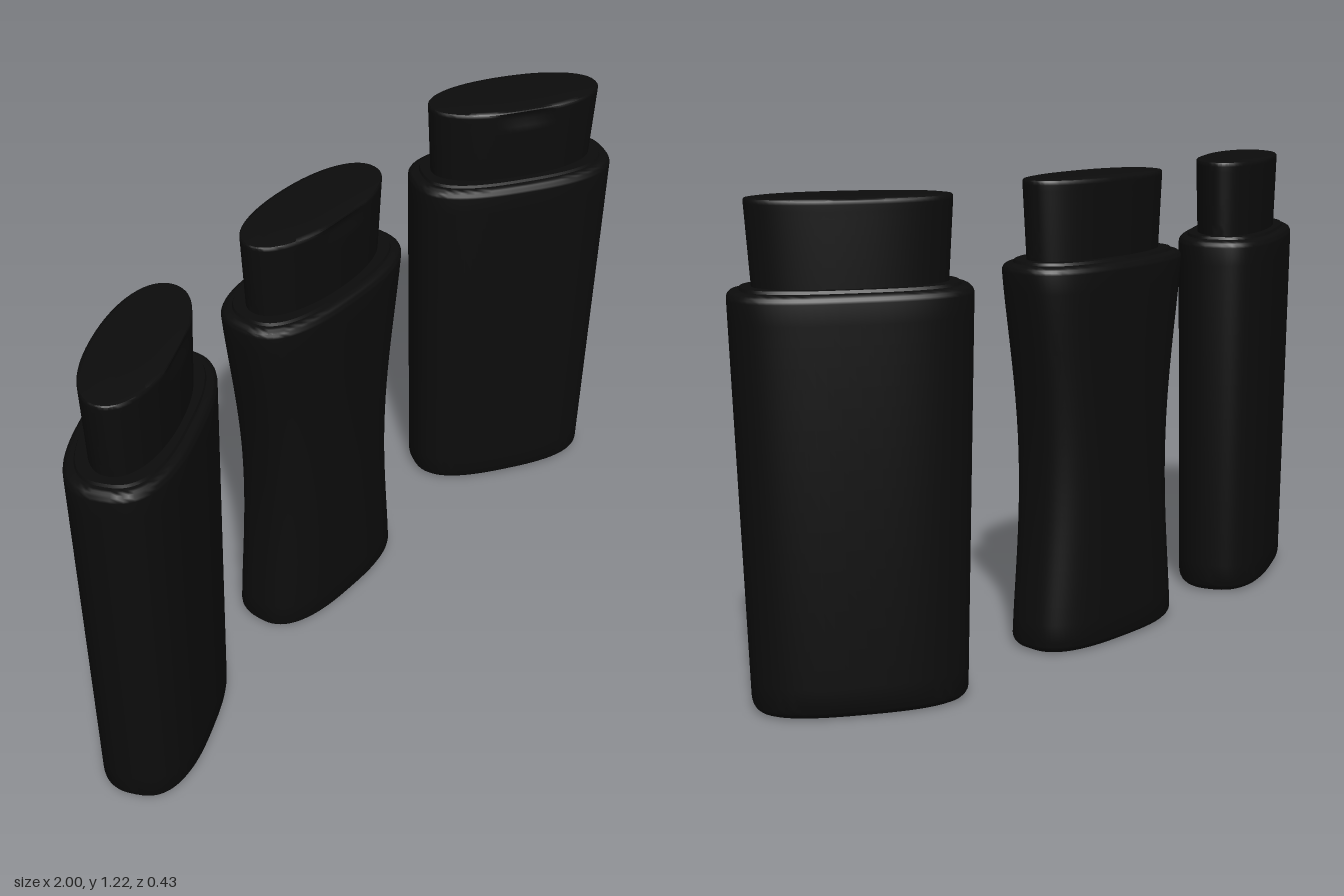
import * as THREE from 'three';
import { toCreasedNormals } from 'three/addons/utils/BufferGeometryUtils.js';

const SEG = 72;
const material = new THREE.MeshStandardMaterial({ color: 0x0c0c0c });

// Skins a stack of superellipse rings [y, halfWidth, halfDepth]; zero-size rings close the ends.
function loft(rings, power, adjust = () => {}) {
  const pos = [], index = [];
  for (const [y, a, b] of rings) {
    for (let j = 0; j < SEG; j++) {
      const t = (j / SEG) * Math.PI * 2, c = Math.cos(t), s = Math.sin(t);
      const p = new THREE.Vector3(
        a * Math.sign(c) * Math.abs(c) ** (2 / power), y,
        b * Math.sign(s) * Math.abs(s) ** (2 / power));
      adjust(p);
      pos.push(p.x, p.y, p.z);
    }
  }
  for (let i = 0; i < rings.length - 1; i++) {
    for (let j = 0; j < SEG; j++) {
      const k = (j + 1) % SEG;
      const p = i * SEG + j, q = i * SEG + k, r = p + SEG, s = q + SEG;
      if (rings[i + 1][1] > 0) index.push(p, r, s);
      if (rings[i][1] > 0) index.push(p, s, q);
    }
  }
  const g = new THREE.BufferGeometry();
  g.setAttribute('position', new THREE.Float32BufferAttribute(pos, 3));
  g.setIndex(index);
  return toCreasedNormals(g, 0.7);
}

// Body: tapered wall, optionally waisted, with rounded foot and shoulder
function bodyGeometry(waist) {
  const W = 0.285, D = 0.14, bottom = 0.91;
  const size = (y) => {
    const taper = bottom + (1 - bottom) * y;
    const pinch = waist * Math.sin(Math.PI * Math.min(1, y)) ** 1.3;
    return [W * (taper - pinch), D * (taper - pinch * 0.35)];
  };
  const ring = (y, inset) => {
    const [a, b] = size(y);
    return [y, a - inset, b - inset];
  };
  const rings = [[0, 0, 0]];
  const foot = 0.03, shoulder = 0.02, top = 1.008;
  for (let i = 0; i <= 5; i++) {
    const t = (i / 5) * Math.PI / 2;
    rings.push(ring(foot * (1 - Math.cos(t)), foot * (1 - Math.sin(t))));
  }
  for (let i = 1; i < 20; i++) rings.push(ring(foot + (top - shoulder - foot) * i / 20, 0));
  for (let i = 0; i <= 5; i++) {
    const t = (i / 5) * Math.PI / 2;
    rings.push(ring(top - shoulder + shoulder * Math.sin(t), shoulder * (1 - Math.cos(t))));
  }
  // raised seat around the cap
  rings.push([1.008, 0.256, 0.116], [1.015, 0.253, 0.113], [1.015, 0, 0]);
  return loft(rings, 2.7);
}

// Cap: flares slightly upward, with a shallow thumb notch at the front rim
function capGeometry() {
  const rings = [[1.01, 0, 0], [1.01, 0.228, 0.096]];
  for (let i = 1; i <= 10; i++) rings.push([1.01 + 0.018 * i, 0.228 + 0.0011 * i, 0.096 + 0.0005 * i]);
  rings.push([1.205, 0.24, 0.1015], [1.213, 0.24, 0.1015], [1.216, 0.2375, 0.099],
    [1.218, 0.22, 0.09], [1.22, 0.12, 0.05], [1.22, 0, 0]);
  return loft(rings, 2.15, (p) => {
    if (p.z < 0.07 || p.y < 1.16) return;
    const across = Math.max(0, 1 - (p.x / 0.09) ** 2);
    const height = Math.max(0, 1 - Math.abs(p.y - 1.196) / 0.025);
    p.z -= 0.012 * across * height;
  });
}

export function createModel() {
  const model = new THREE.Group();
  const straight = bodyGeometry(0), waisted = bodyGeometry(0.15), cap = capGeometry();
  const bottles = [
    ['rightBottle', straight, -0.725, -0.008, 24.5],
    ['middleBottle', waisted, -0.035, -0.07, 0],
    ['leftBottle', straight, 0.739, -0.004, -34],
  ];
  for (const [name, body, x, z, turn] of bottles) {
    const bottle = new THREE.Group();
    bottle.name = name;
    for (const [part, geometry] of [['body', body], ['cap', cap]]) {
      const mesh = new THREE.Mesh(geometry, material);
      mesh.name = part;
      bottle.add(mesh);
    }
    bottle.position.set(x, 0, z);
    bottle.rotation.y = THREE.MathUtils.degToRad(turn);
    model.add(bottle);
  }
  return model;
}
